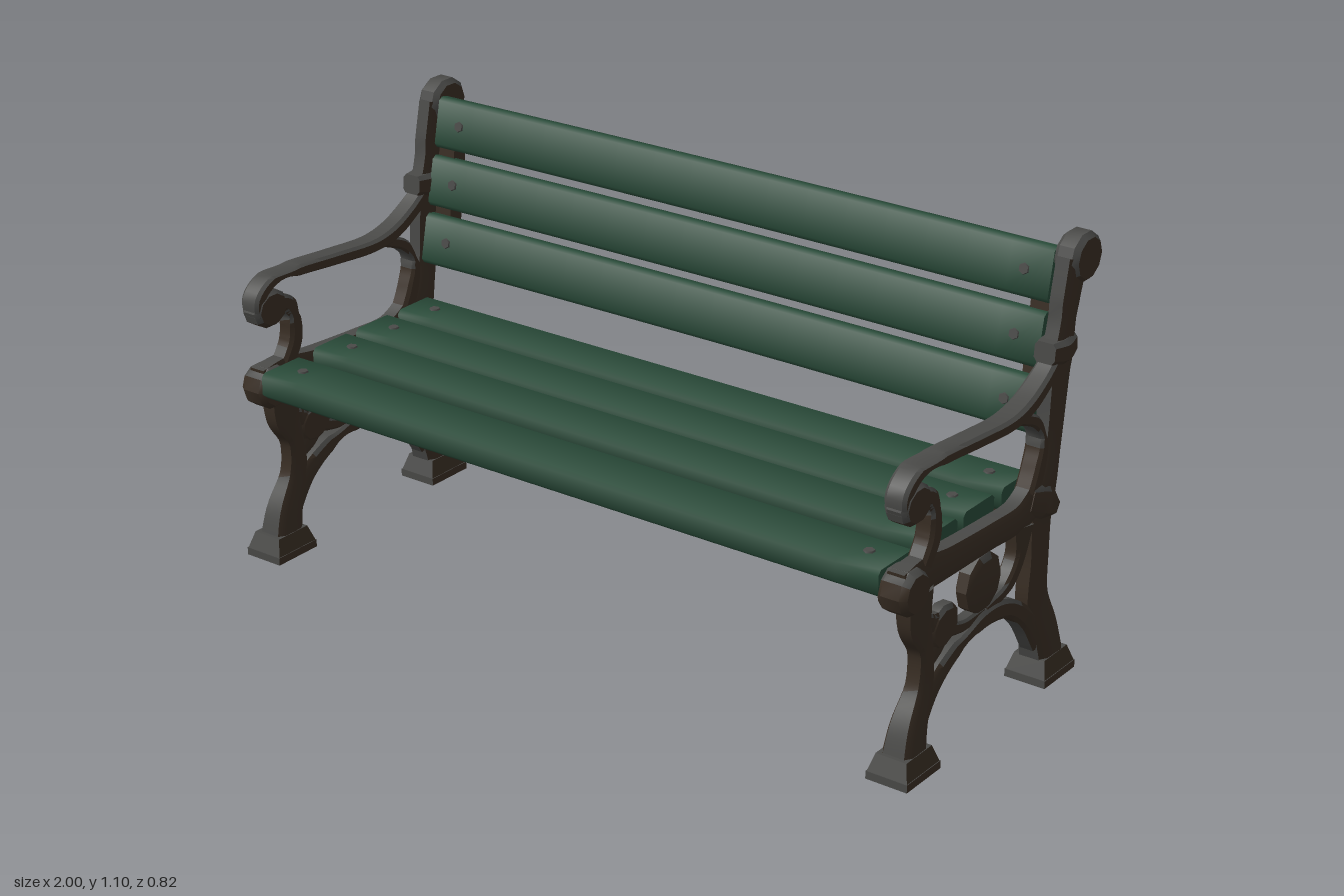
import * as THREE from 'three';
import { toCreasedNormals } from 'three/addons/utils/BufferGeometryUtils.js';

const material = (name, color) => {
  const m = new THREE.MeshStandardMaterial({ color });
  m.name = name;
  return m;
};

export function createModel() {
  const green = material('green paint', 0x294b39);
  const brown = material('brown iron', 0x392e24);
  const grey = material('worn grey iron', 0x4a4a48);
  const LEAN = 0.2;

  // Sort the faces of an iron part: worn on top and exposed fronts, brown elsewhere
  function ironMesh(name, source) {
    const geo = source.index ? source.toNonIndexed() : source;
    const p = geo.attributes.position;
    const tri = new THREE.Triangle(), n = new THREE.Vector3(), mid = new THREE.Vector3();
    const faces = [[], []];
    for (let i = 0; i < p.count; i += 3) {
      tri.setFromAttributeAndIndices(p, i, i + 1, i + 2);
      tri.getNormal(n);
      tri.getMidpoint(mid);
      const front = n.z > 0.55 && (mid.y < 0.2 || mid.y > 0.62);
      const worn = n.y > 0.5 || front;
      for (const v of [tri.a, tri.b, tri.c]) faces[worn ? 1 : 0].push(v.x, v.y, v.z);
    }
    const out = new THREE.BufferGeometry();
    out.setAttribute('position', new THREE.Float32BufferAttribute(faces.flat(), 3));
    const count = faces.map((f) => f.length / 3);
    out.addGroup(0, count[0], 0);
    out.addGroup(count[0], count[1], 1);
    out.computeVertexNormals();
    const mesh = new THREE.Mesh(toCreasedNormals(out, 0.6), [brown, grey]);
    mesh.name = name;
    return mesh;
  }

  // Chamfered bar swept in the side plane; stations are [z, y, width, thickness in x]
  function bar(name, stations, steps = 5) {
    const path = new THREE.CatmullRomCurve3(stations.map(([z, y]) => new THREE.Vector3(0, y, z)));
    const size = new THREE.CatmullRomCurve3(stations.map(([, , w, t = 0.05]) => new THREE.Vector3(w, t, 0)));
    const section = [[1, -0.6], [1, 0.6], [0.7, 1], [-0.7, 1], [-1, 0.6], [-1, -0.6], [-0.7, -1], [0.7, -1]];
    const rows = (stations.length - 1) * steps, pos = [], idx = [];
    for (let s = 0; s <= rows; s++) {
      const c = path.getPoint(s / rows), t = path.getTangent(s / rows), d = size.getPoint(s / rows);
      for (const [a, b] of section) {
        pos.push(a * d.y / 2, c.y + b * t.z * d.x / 2, c.z - b * t.y * d.x / 2);
      }
    }
    for (let s = 0; s < rows; s++) {
      for (let i = 0; i < 8; i++) {
        const a = s * 8 + i, b = s * 8 + (i + 1) % 8;
        idx.push(a, b, b + 8, a, b + 8, a + 8);
      }
    }
    const e = rows * 8;
    for (let i = 1; i < 7; i++) idx.push(0, i + 1, i, e, e + i, e + i + 1);
    const geo = new THREE.BufferGeometry();
    geo.setAttribute('position', new THREE.Float32BufferAttribute(pos, 3));
    geo.setIndex(idx);
    return ironMesh(name, geo);
  }

  // Flat boss with chamfered rims, facing sideways
  function boss(name, z, y, rz, ry, thick, tilt = 0) {
    const h = thick / 2;
    const profile = [[0, -h], [0.8, -h], [1, -h * 0.6], [1, h * 0.6], [0.8, h], [0, h]];
    const geo = new THREE.LatheGeometry(profile.map(([r, v]) => new THREE.Vector2(r, v)), 10);
    geo.rotateZ(Math.PI / 2).scale(1, ry, rz).rotateX(tilt).translate(0, y, z);
    return ironMesh(name, geo);
  }

  // Foot pad: wide base with sloping shoulders
  function foot(name, z) {
    const geo = new THREE.CylinderGeometry(0.38, 0.5, 1, 4, 1).rotateY(Math.PI / 4);
    geo.scale(Math.SQRT2 * 0.108, 0.045, Math.SQRT2 * 0.138).translate(0, 0.04, z);
    const base = new THREE.BoxGeometry(0.11, 0.02, 0.14).translate(0, 0.01, z);
    const g = new THREE.Group();
    g.name = name;
    g.add(ironMesh('footShoulder', geo), ironMesh('footBase', base));
    return g;
  }

  // Cast end frame, centred on its own x
  const frame = new THREE.Group();
  frame.add(
    foot('frontFoot', 0.33),
    foot('backFoot', -0.27),
    bar('backPost', [[-0.275, 0.03, 0.1, 0.085], [-0.25, 0.12, 0.095, 0.07], [-0.212, 0.22, 0.09, 0.05],
      [-0.212, 0.33, 0.08], [-0.212, 0.43, 0.085], [-0.222, 0.51, 0.085, 0.06], [-0.25, 0.62, 0.068],
      [-0.267, 0.78, 0.078], [-0.293, 0.94, 0.078], [-0.32, 1.04, 0.09]]),
    bar('frontLeg', [[0.332, 0.03, 0.095, 0.085], [0.315, 0.11, 0.085, 0.07], [0.275, 0.2, 0.065],
      [0.275, 0.29, 0.052], [0.303, 0.37, 0.085], [0.31, 0.45, 0.095, 0.06]]),
    bar('archBrace', [[0.31, 0.1, 0.07], [0.24, 0.19, 0.06], [0.15, 0.242, 0.048], [0.05, 0.267, 0.048],
      [-0.02, 0.268, 0.05], [-0.09, 0.247, 0.046], [-0.165, 0.19, 0.052], [-0.23, 0.11, 0.07]]),
    bar('rearScrollBrace', [[0.02, 0.285, 0.04, 0.04], [-0.08, 0.312, 0.04, 0.04],
      [-0.125, 0.365, 0.045, 0.04], [-0.14, 0.44, 0.085, 0.045]]),
    bar('leafStem', [[0.03, 0.285, 0.035, 0.035], [0.12, 0.287, 0.03, 0.035], [0.19, 0.31, 0.04, 0.035],
      [0.25, 0.35, 0.04, 0.035], [0.285, 0.37, 0.03, 0.035]]),
    boss('leaf', 0.2, 0.32, 0.062, 0.052, 0.04, 0.4),
    bar('leafTip', [[0.2, 0.31, 0.07, 0.035], [0.225, 0.275, 0.055, 0.035], [0.245, 0.25, 0.03, 0.03]]),
    boss('medallion', 0.035, 0.363, 0.075, 0.075, 0.045),
    bar('seatRail', [[0.38, 0.475, 0.1, 0.06], [0.3, 0.487, 0.09], [0.2, 0.48, 0.075], [0, 0.472, 0.068],
      [-0.1, 0.469, 0.072], [-0.17, 0.488, 0.095], [-0.22, 0.52, 0.1]]),
    boss('seatRailScroll', 0.355, 0.472, 0.057, 0.057, 0.08),
    bar('railPostCollar', [[-0.15, 0.5, 0.07, 0.055], [-0.205, 0.48, 0.085, 0.076], [-0.255, 0.448, 0.045, 0.07]]),
    bar('armSupport', [[0.295, 0.51, 0.045], [0.262, 0.565, 0.048], [0.26, 0.62, 0.042],
      [0.28, 0.67, 0.042], [0.33, 0.69, 0.04]]),
    boss('armScroll', 0.348, 0.68, 0.058, 0.05, 0.062),
    bar('armRest', [[0.385, 0.67, 0.035, 0.055], [0.385, 0.712, 0.035, 0.058], [0.335, 0.75, 0.03, 0.06],
      [0.24, 0.749, 0.03, 0.06], [0.1, 0.737, 0.032, 0.06], [-0.05, 0.728, 0.034, 0.06],
      [-0.13, 0.742, 0.04, 0.058], [-0.2, 0.777, 0.038, 0.055], [-0.26, 0.815, 0.045, 0.05]]),
    bar('armRearBrace', [[-0.09, 0.725, 0.03], [-0.165, 0.69, 0.03], [-0.2, 0.63, 0.03],
      [-0.19, 0.57, 0.045], [-0.165, 0.51, 0.05]]),
    bar('postCollar', [[-0.215, 0.84, 0.05, 0.055], [-0.265, 0.835, 0.06, 0.076], [-0.315, 0.84, 0.05, 0.055]]),
    boss('postScroll', -0.345, 1.037, 0.066, 0.062, 0.064),
  );
  const left = frame, right = frame.clone();
  left.name = 'leftEndFrame';
  right.name = 'rightEndFrame';
  left.position.x = 0.945;
  right.position.x = -0.945;

  // Rounded wooden plank along x, with an optional bow at its middle
  function slat(name, depth, thick, bow = 0) {
    const w = depth / 2, h = thick / 2, r = 0.01;
    const s = new THREE.Shape([[-w + r, -h], [w - r, -h], [w, -h + r], [w, h - r], [w - r, h],
      [-w + r, h], [-w, h - r], [-w, -h + r]].map(([x, y]) => new THREE.Vector2(x, y)));
    const geo = new THREE.ExtrudeGeometry(s, { depth: 1.824, steps: 16, bevelEnabled: false });
    geo.translate(0, 0, -0.912).rotateY(Math.PI / 2);
    const p = geo.attributes.position;
    for (let i = 0; i < p.count; i++) p.setY(i, p.getY(i) - bow * (1 - (p.getX(i) / 0.912) ** 2));
    const mesh = new THREE.Mesh(toCreasedNormals(geo, 0.9), green);
    mesh.name = name;
    const g = new THREE.Group();
    g.name = name + 'WithBolts';
    g.add(mesh);
    for (const x of [-0.84, 0.84]) {
      const bolt = new THREE.Mesh(new THREE.CylinderGeometry(0.013, 0.016, 0.008, 6), grey);
      bolt.name = 'bolt';
      bolt.position.set(x, h - bow * 0.15, 0);
      g.add(bolt);
    }
    return g;
  }

  const model = new THREE.Group();
  model.name = 'parkBench';
  model.add(left, right);

  // Seat slats [z, y, depth, thickness], each on iron lugs
  [[0.333, 0.493, 0.145, 0.066], [0.15, 0.503, 0.135, 0.058], [-0.01, 0.503, 0.132, 0.058],
    [-0.172, 0.501, 0.126, 0.06]].forEach(([z, y, d, t], i) => {
    const s = slat('seatSlat' + (i + 1), d, t);
    s.position.set(0, y, z);
    model.add(s);
    for (const x of [-0.885, 0.885]) {
      const lug = new THREE.Mesh(new THREE.BoxGeometry(0.08, 0.03, d * 0.6), brown);
      lug.name = 'seatLug';
      lug.position.set(x, 0.468, z);
      model.add(lug);
    }
  });

  // Leaning back slats [y, z]
  [[0.695, -0.24], [0.845, -0.272], [0.995, -0.304]].forEach(([y, z], i) => {
    const s = slat('backSlat' + (i + 1), 0.132, 0.04, 0.016);
    s.position.set(0, y, z);
    s.rotation.x = Math.PI / 2 - LEAN;
    model.add(s);
  });

  // Iron straps behind the back slats
  for (const x of [-0.885, 0.885]) {
    const strap = new THREE.Mesh(new THREE.BoxGeometry(0.05, 0.36, 0.045), brown);
    strap.name = 'backStrap';
    strap.position.set(x, 0.82, -0.298);
    strap.rotation.x = -0.13;
    model.add(strap);
  }
  return model;
}
